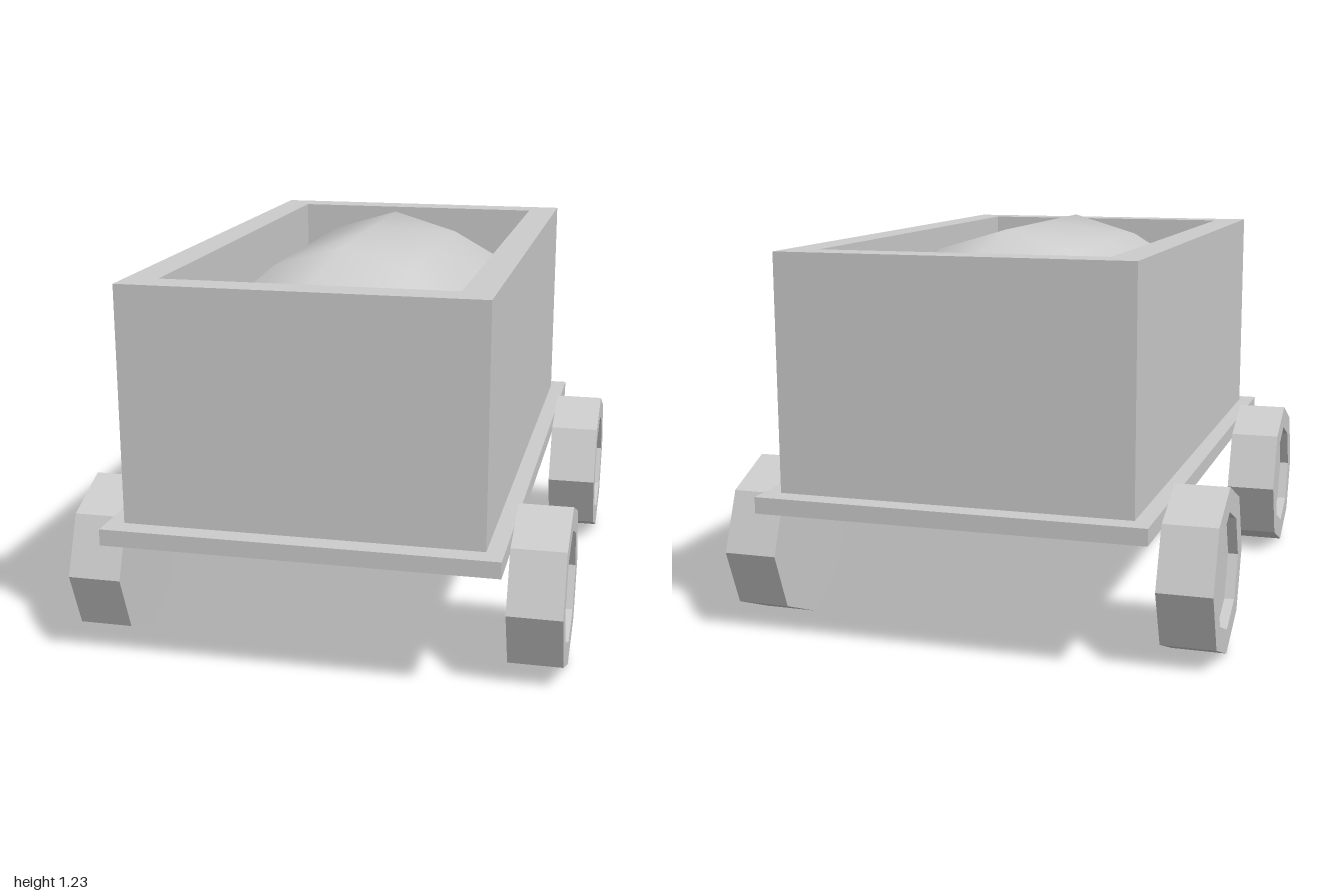
import * as THREE from 'three';

const material = new THREE.MeshStandardMaterial({ color: 0xcccccc });
const flat = new THREE.MeshStandardMaterial({ color: 0xcccccc, flatShading: true });

function add(parent, name, geometry, mat = material) {
  const mesh = new THREE.Mesh(geometry, mat);
  mesh.name = name;
  parent.add(mesh);
  return mesh;
}

// Rectangle centred on the origin, as a Shape or a Path for a hole
function rectangle(Type, w, d) {
  return new Type([[-w, -d], [w, -d], [w, d], [-w, d]].map(([x, y]) => new THREE.Vector2(x / 2, y / 2)));
}

// Heap of cargo: a 4 x 4 grid whose inner points rise to a long ridge
function heapGeometry(w, d) {
  const geometry = new THREE.PlaneGeometry(w, d, 4, 4).rotateX(-Math.PI / 2);
  const p = geometry.attributes.position;
  for (let i = 0; i < p.count; i++) {
    const x = Math.abs(p.getX(i)), z = Math.abs(p.getZ(i));
    const border = x > w * 0.45 || z > d * 0.45;
    p.setY(i, border ? 0.94 : x > 0.1 ? 1.162 : 1.227);
  }
  geometry.computeVertexNormals();
  return geometry;
}

// Eight-sided wheel along y, with a recessed disc on its +y face
function wheelGeometry() {
  const h = 0.0825, profile = [[0, -h], [0.255, -h], [0.255, h], [0.18, h], [0.18, h - 0.03], [0, h - 0.03]];
  return new THREE.LatheGeometry(profile.map(([r, y]) => new THREE.Vector2(r, y)), 8);
}

export function createModel() {
  const cart = new THREE.Group();
  cart.name = 'cart';

  // Base plate
  add(cart, 'basePlate', new THREE.BoxGeometry(1.18, 0.05, 2)).position.y = 0.447;

  // Open box with thick walls
  const outline = rectangle(THREE.Shape, 1.076, 1.866);
  outline.holes.push(rectangle(THREE.Path, 0.88, 1.656));
  const walls = new THREE.ExtrudeGeometry(outline, { depth: 0.716, bevelEnabled: false });
  add(cart, 'boxWalls', walls.rotateX(-Math.PI / 2)).position.y = 0.472;

  // Cargo inside the box
  add(cart, 'cargoHeap', heapGeometry(0.88, 1.656));

  // Wheels, recess facing outward
  const wheel = wheelGeometry();
  for (const side of [1, -1]) {
    for (const [end, z] of [['front', 0.617], ['back', -0.637]]) {
      const mesh = add(cart, end + (side > 0 ? 'Left' : 'Right') + 'Wheel', wheel, flat);
      mesh.rotation.z = -side * Math.PI / 2;
      mesh.position.set(side * 0.672, 0.256, z);
    }
  }
  return cart;
}
